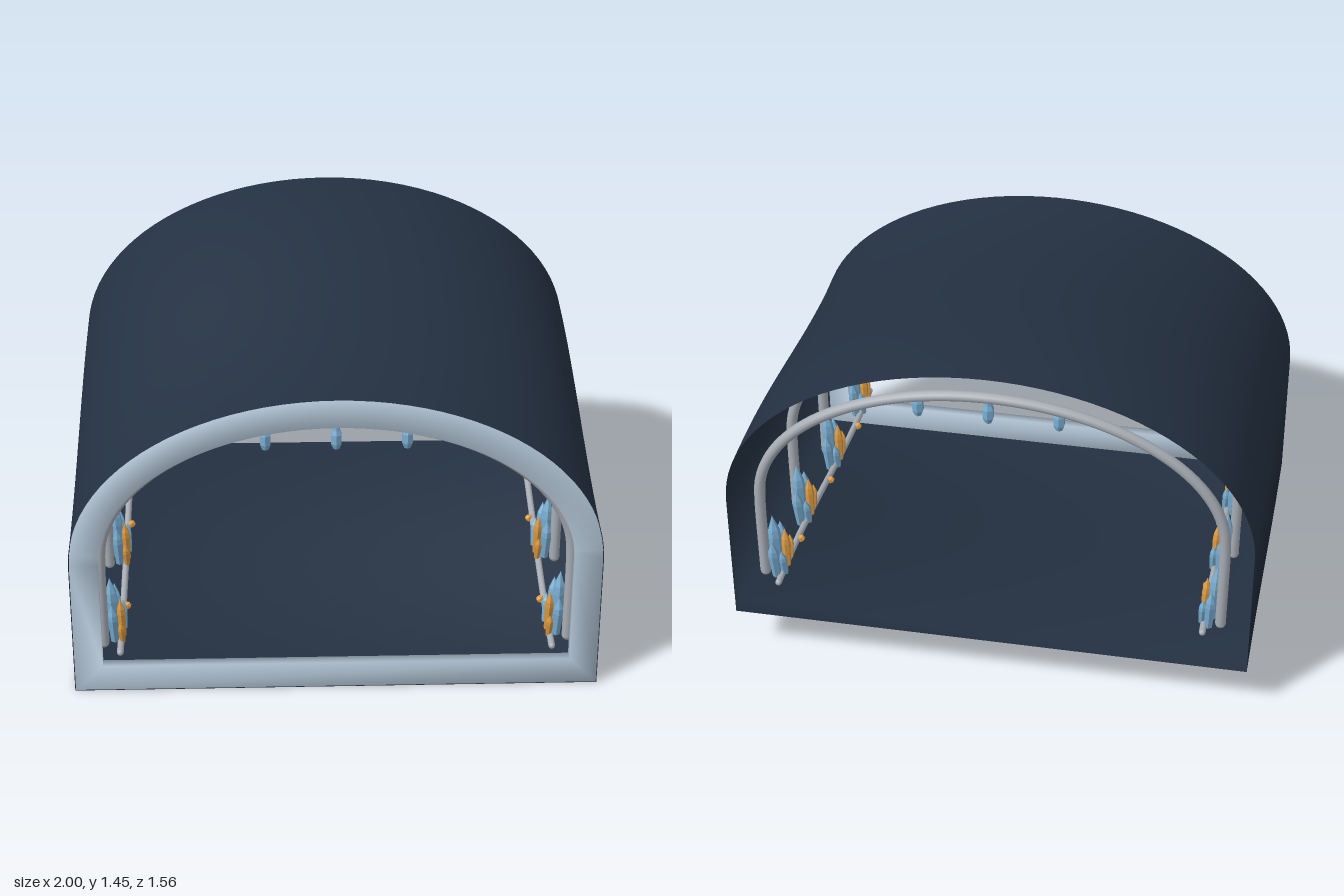
import * as THREE from 'three';

const HALF = 0.78;      // half length of the tunnel
const SPRING = 0.555;   // height where the arch leaves the walls

// The whole tunnel climbs gently from front to back.
const rise = z => 0.2 * THREE.MathUtils.smoothstep(-z, -HALF, HALF);

// Horseshoe outline, counter-clockwise from the lower right.
function horseshoe(halfWidth, bottom, top, z, steps = 48) {
  const lift = rise(z), pts = [new THREE.Vector3(halfWidth, bottom + lift, z)];
  for (let i = 0; i <= steps; i++) {
    const a = Math.PI * i / steps;
    pts.push(new THREE.Vector3(halfWidth * Math.cos(a), SPRING + (top - SPRING) * Math.sin(a) + lift, z));
  }
  pts.push(new THREE.Vector3(-halfWidth, bottom + lift, z));
  return pts;
}

// Smooth skin through a row of closed outlines.
function loft(rings, closed) {
  const n = rings[0].length, index = [];
  const spans = closed ? rings.length : rings.length - 1;
  for (let r = 0; r < spans; r++) {
    for (let j = 0; j < n; j++) {
      const r2 = (r + 1) % rings.length, k = (j + 1) % n;
      const a = r * n + j, b = r * n + k, c = r2 * n + j, d = r2 * n + k;
      index.push(a, c, b, b, c, d);
    }
  }
  const geo = new THREE.BufferGeometry().setFromPoints(rings.flat());
  geo.setIndex(index);
  geo.computeVertexNormals();
  return geo;
}

export function createModel() {
  const material = (name, color, extra = {}) => {
    const m = new THREE.MeshStandardMaterial({ color, ...extra });
    m.name = name;
    return m;
  };
  const navy = material('dark navy', 0x243142, { side: THREE.DoubleSide });
  const pale = material('pale blue grey', 0xb8cbdc);
  const metal = material('grey metal', 0xa8adb5);
  const blue = material('crystal blue', 0x7aaed2, { flatShading: true });
  const amber = material('amber', 0xdc9a42, { flatShading: true });

  const model = new THREE.Group();
  model.name = 'tunnel';
  const add = (parent, name, geo, mat, x = 0, y = 0, z = 0) => {
    const mesh = new THREE.Mesh(geo, mat);
    mesh.name = name;
    mesh.position.set(x, y, z);
    parent.add(mesh);
    return mesh;
  };
  const group = (parent, name) => {
    const g = new THREE.Group();
    g.name = name;
    parent.add(g);
    return g;
  };

  // Tube with rounded ends
  const pipe = (parent, name, pts, radius, segments) => {
    const curve = new THREE.CatmullRomCurve3(pts);
    add(parent, name, new THREE.TubeGeometry(curve, segments, radius, 10), metal);
    for (const p of [pts[0], pts[pts.length - 1]])
      add(parent, name + 'End', new THREE.SphereGeometry(radius, 10, 6), metal, p.x, p.y, p.z);
  };

  // Tunnel skin: walls, roof and floor
  const rings = [];
  for (let i = 0; i <= 24; i++) rings.push(horseshoe(1, 0, 1.245, HALF - 2 * HALF * i / 24));
  add(model, 'tunnelShell', loft(rings, false), navy);

  // Softly shaded frame around the front opening
  const back = HALF - 0.04;
  add(model, 'frontFrame', loft([
    horseshoe(0.997, 0.003, 1.242, HALF),
    horseshoe(0.997, 0.003, 1.242, back),
    horseshoe(0.89, 0.11, 1.132, back),
    horseshoe(0.89, 0.11, 1.132, HALF),
  ], true), pale);

  // Ribs, each with three hanging lamps
  const lampProfile = [[0, -0.05], [0.013, -0.047], [0.022, -0.025], [0.022, 0.012], [0.015, 0.03], [0.012, 0.05]]
    .map(p => new THREE.Vector2(...p));
  const lampGeo = new THREE.LatheGeometry(lampProfile, 6);
  for (const z of [0.72, 0.24, -0.24, -0.72]) {
    const rib = group(model, 'rib');
    pipe(rib, 'ribTube', horseshoe(0.885, 0.18, 1.122, z, 24), 0.021, 96);
    for (const x of [-0.26, 0, 0.26])
      add(rib, 'hangingLamp', lampGeo, blue, x, 1.062 + rise(z), z);
  }

  // Pointed six-sided crystal standing on its base
  const crystalGeo = (radius, height) => new THREE.LatheGeometry(
    [[0, 0], [radius * 0.75, 0], [radius, height * 0.6], [radius * 0.85, height * 0.74], [0, height]]
      .map(p => new THREE.Vector2(...p)), 6);

  // x, z offset, height, radius, material, lean along z
  const crystals = [
    [0.85, 0, 0.25, 0.026, blue, 0],
    [0.845, 0.05, 0.17, 0.022, blue, 0.12],
    [0.84, -0.055, 0.18, 0.022, blue, -0.1],
    [0.815, 0.015, 0.17, 0.018, amber, 0.06],
    [0.812, -0.035, 0.12, 0.017, blue, -0.15],
    [0.815, 0.06, 0.1, 0.015, amber, 0.2],
  ];

  for (const side of [-1, 1]) {
    const wall = group(model, side > 0 ? 'leftWallDetails' : 'rightWallDetails');

    // Rail along the foot of the wall
    const path = [];
    for (let i = 0; i <= 12; i++) {
      const z = 0.77 - 1.54 * i / 12;
      path.push(new THREE.Vector3(side * 0.822, 0.165 + rise(z), z));
    }
    pipe(wall, 'rail', path, 0.013, 48);

    // Amber studs on the rail
    for (const z of [0.48, 0, -0.48])
      add(wall, 'railStud', new THREE.IcosahedronGeometry(0.017, 0), amber, side * 0.806, 0.17 + rise(z), z);

    // Crystal clusters
    for (const z of [0.64, 0.18, -0.3, -0.67]) {
      const cluster = group(wall, 'crystalCluster');
      cluster.position.set(0, 0.165 + rise(z), z);
      for (const [x, dz, height, radius, mat, lean] of crystals) {
        const c = add(cluster, 'crystal', crystalGeo(radius, height), mat, side * x, 0, dz);
        c.rotation.set(lean, 0, -side * 0.04);
      }
    }
  }
  return model;
}
